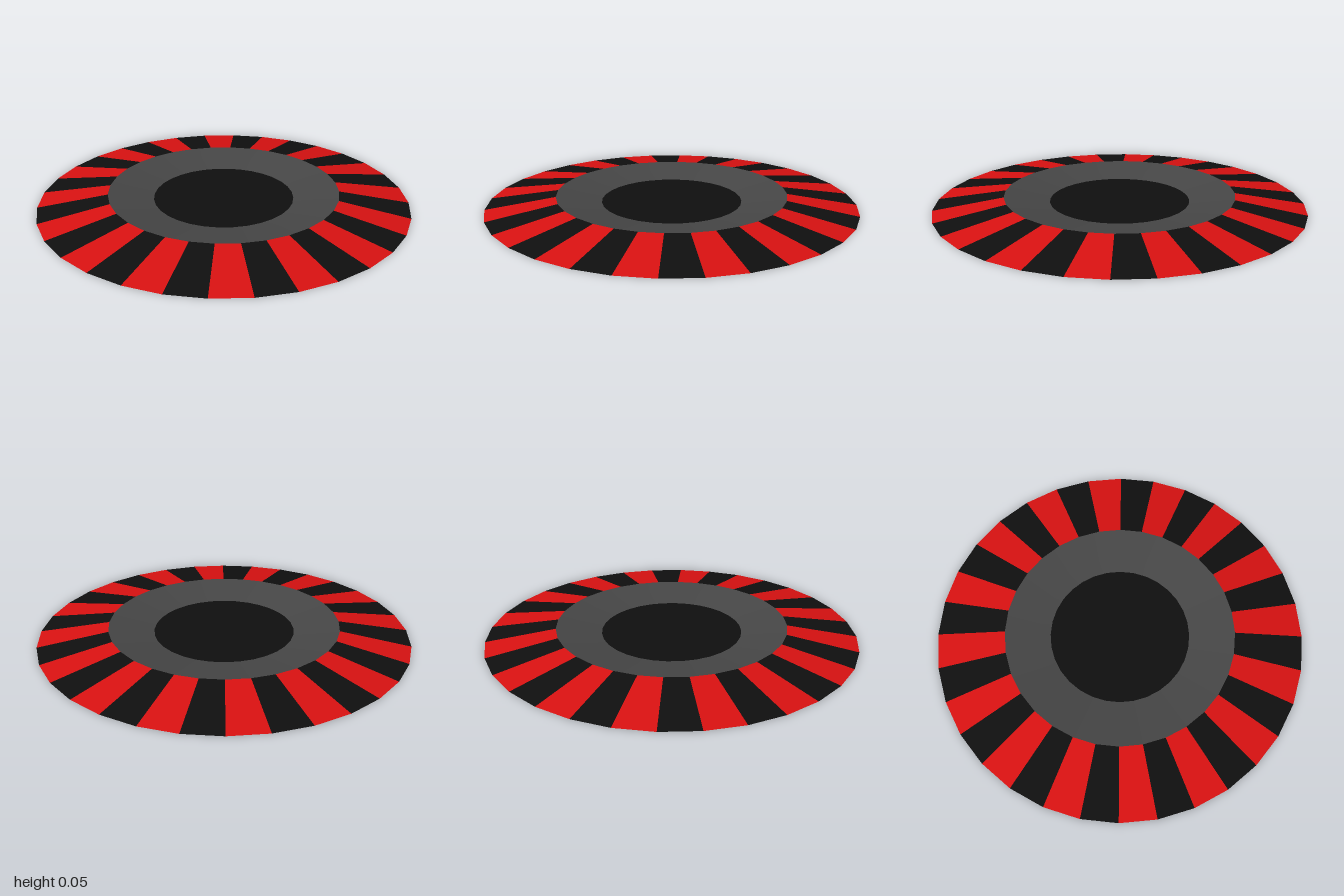
import * as THREE from 'three';
import { mergeGeometries } from 'three/addons/utils/BufferGeometryUtils.js';

const SIDES = 32;
const RIM = [1, 0], LIP = [0.625, 0.055], FLOOR = [0.38, 0.012];

// Surface swept from one profile point to the next
function sweep(from, to, segments, start = 0, length = Math.PI * 2) {
  const profile = [new THREE.Vector2(...from), new THREE.Vector2(...to)];
  return new THREE.LatheGeometry(profile, segments, start, length);
}

export function createModel() {
  const red = new THREE.MeshStandardMaterial({ color: 0xd81111 });
  const black = new THREE.MeshStandardMaterial({ color: 0x0f0f0f });
  const grey = new THREE.MeshStandardMaterial({ color: 0x464646 });
  red.name = 'red';
  black.name = 'black';
  grey.name = 'dark grey';

  const model = new THREE.Group();
  model.name = 'stripedDisc';
  function add(name, geometry, material) {
    const mesh = new THREE.Mesh(geometry, material);
    mesh.name = name;
    model.add(mesh);
    return mesh;
  }

  // Sloping border of alternating flat wedges
  const step = Math.PI * 2 / SIDES;
  const wedges = [[], []];
  for (let i = 0; i < SIDES; i++) {
    const wedge = sweep(RIM, LIP, 1, i * step, step).toNonIndexed();
    wedge.computeVertexNormals();
    wedges[i % 2].push(wedge);
  }
  add('redWedges', mergeGeometries(wedges[0]), red);
  add('blackWedges', mergeGeometries(wedges[1]), black);

  // Shallow dish sinking to a round floor
  add('dish', sweep(LIP, FLOOR, SIDES), grey);
  const floor = new THREE.CircleGeometry(FLOOR[0], SIDES).rotateX(-Math.PI / 2);
  add('dishFloor', floor, black).position.y = FLOOR[1];

  // Flat underside
  add('underside', new THREE.CircleGeometry(RIM[0], SIDES).rotateX(Math.PI / 2), black);

  return model;
}
